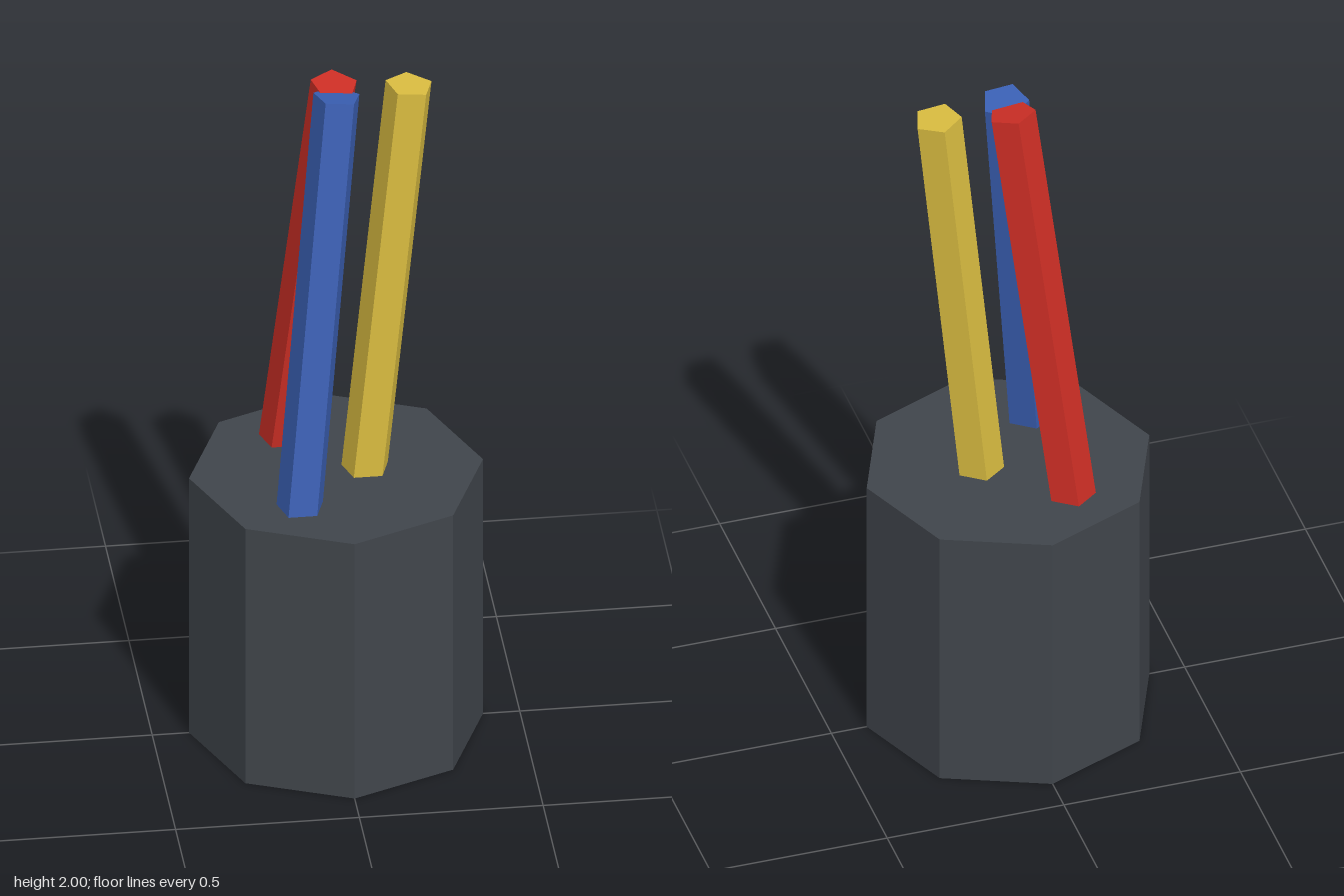
import * as THREE from 'three';

const paint = (name, color) => {
  const m = new THREE.MeshStandardMaterial({ color, flatShading: true });
  m.name = name;
  return m;
};

// five-sided pencil: centre of its top, sideways lean per unit of height
function pencil(name, material, [x, y, z], leanX, leanZ) {
  const length = 1.6;
  const geometry = new THREE.CylinderGeometry(0.066, 0.066, length, 5, 1, false, Math.PI);
  geometry.translate(0, -length / 2, 0); // hang from the top end
  const mesh = new THREE.Mesh(geometry, material);
  mesh.name = name;
  mesh.position.set(x, y, z);
  mesh.rotation.set(Math.atan(leanZ), 0, -Math.atan(leanX));
  return mesh;
}

export function createModel() {
  const group = new THREE.Group();
  group.name = 'pencilCup';

  // solid octagonal cup
  const cup = new THREE.Mesh(new THREE.CylinderGeometry(0.4, 0.4, 0.8, 8), paint('charcoal', 0x40454b));
  cup.name = 'cup';
  cup.position.y = 0.4;
  group.add(cup);

  // three leaning pencils
  group.add(
    pencil('yellowPencil', paint('yellow', 0xd9bc40), [0.2, 1.994, 0], 0.1, 0),
    pencil('bluePencil', paint('blue', 0x3a5fb3), [0, 1.989, 0.029], 0.1, -0.132),
    pencil('redPencil', paint('red', 0xcc2e25), [0, 1.991, -0.03], 0.1, 0.131),
  );
  return group;
}
